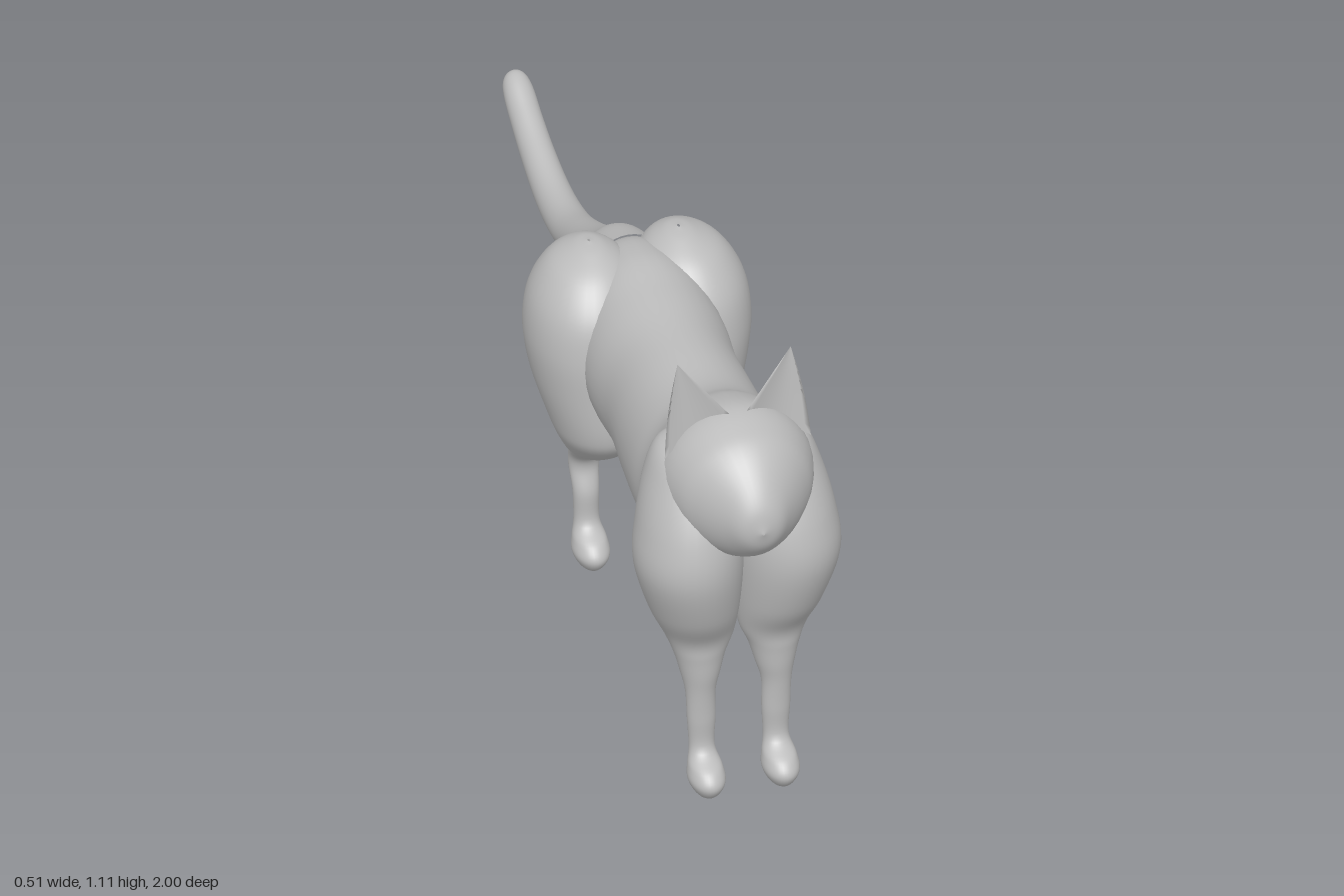
import * as THREE from 'three';

// Smooth loft through elliptical sections [s, a0, a1, x0, x1].
// axis 'y': s is height (ascending), a spans z. axis 'z': s is z (descending), a spans y.
function loft(rows, axis, steps = 6, sides = 36) {
  const ca = new THREE.CatmullRomCurve3(rows.map(r => new THREE.Vector3(r[0], r[1], r[2])), false, 'catmullrom', 0.5);
  const cx = new THREE.CatmullRomCurve3(rows.map(r => new THREE.Vector3(r[0], r[3], r[4])), false, 'catmullrom', 0.5);
  const n = (rows.length - 1) * steps, pos = [], idx = [];
  for (let i = 0; i <= n; i++) {
    const p = ca.getPoint(i / n), q = cx.getPoint(i / n);
    for (let j = 0; j < sides; j++) {
      const t = j / sides * Math.PI * 2;
      const x = (q.y + q.z) / 2 + Math.cos(t) * Math.abs(q.z - q.y) / 2;
      const a = (p.y + p.z) / 2 + Math.sin(t) * Math.abs(p.y - p.z) / 2;
      if (axis === 'y') pos.push(x, p.x, a); else pos.push(x, a, p.x);
      if (i < n) {
        const k = (j + 1) % sides, A = i * sides + j, B = A + sides, C = i * sides + k, D = C + sides;
        idx.push(A, B, C, C, B, D);
      }
    }
  }
  const g = new THREE.BufferGeometry();
  g.setAttribute('position', new THREE.Float32BufferAttribute(pos, 3));
  g.setIndex(idx);
  g.computeVertexNormals();
  return g;
}

// Ear: thin cupped triangle, hollow towards the front
function earGeometry(side) {
  const nu = 12, nv = 10, pos = [], idx = [], ring = nu * 2;
  for (let i = 0; i <= nv; i++) {
    const v = i / nv;
    for (let j = 0; j < ring; j++) {
      const back = j >= nu, u = back ? (ring - j) / nu : j / nu;
      const bx = 0.02 + 0.148 * u, by = 0.972 - 0.092 * u;
      const bulge = Math.sin(Math.PI * u) * (1 - v) * (back ? 0.036 : 0.018);
      pos.push(side * (bx + (0.13 - bx) * v + 0.006 * u * Math.sin(Math.PI * v)),
        by + (1.105 - by) * v, 0.793 - 0.03 * v - bulge);
      if (i < nv) {
        const A = i * ring + j, C = i * ring + (j + 1) % ring, B = A + ring, D = C + ring;
        if (side > 0) idx.push(A, C, B, C, D, B); else idx.push(A, B, C, C, B, D);
      }
    }
  }
  const g = new THREE.BufferGeometry();
  g.setAttribute('position', new THREE.Float32BufferAttribute(pos, 3));
  g.setIndex(idx);
  g.computeVertexNormals();
  return g;
}

// Head, neck and trunk: z, top, bottom, half width
const TRUNK = [
  [1.0, 0.785, 0.78, 0.003], [0.985, 0.838, 0.735, 0.045], [0.95, 0.89, 0.695, 0.08],
  [0.9, 0.938, 0.66, 0.125], [0.85, 0.962, 0.645, 0.157], [0.77, 0.975, 0.62, 0.177],
  [0.68, 0.95, 0.52, 0.173], [0.6, 0.908, 0.435, 0.167], [0.52, 0.888, 0.437, 0.168],
  [0.4, 0.883, 0.45, 0.162], [0.28, 0.88, 0.472, 0.156], [0.15, 0.885, 0.478, 0.165],
  [0.02, 0.89, 0.5, 0.15], [-0.1, 0.85, 0.56, 0.1], [-0.15, 0.72, 0.7, 0.01],
];

// Legs: y, front z, back z, inner x, outer x
const FRONT_LEG = [
  [0, 0.845, 0.835, 0.082, 0.088], [0.01, 0.877, 0.798, 0.06, 0.11], [0.04, 0.896, 0.779, 0.044, 0.126],
  [0.07, 0.878, 0.774, 0.047, 0.123], [0.105, 0.826, 0.773, 0.056, 0.114], [0.18, 0.824, 0.772, 0.053, 0.118],
  [0.25, 0.827, 0.765, 0.053, 0.121], [0.3, 0.833, 0.742, 0.04, 0.131], [0.35, 0.837, 0.727, 0.026, 0.144],
  [0.4, 0.845, 0.71, 0.006, 0.163], [0.48, 0.889, 0.66, -0.005, 0.2], [0.6, 0.922, 0.645, -0.01, 0.233],
  [0.7, 0.91, 0.635, -0.01, 0.224], [0.8, 0.865, 0.63, 0, 0.2], [0.87, 0.81, 0.66, 0.05, 0.168],
  [0.89, 0.74, 0.73, 0.1, 0.11],
];
const HIND_LEG = [
  [0, -0.075, -0.085, 0.082, 0.088], [0.01, -0.043, -0.122, 0.06, 0.11], [0.04, -0.024, -0.141, 0.044, 0.126],
  [0.07, -0.042, -0.146, 0.047, 0.123], [0.105, -0.09, -0.145, 0.056, 0.114], [0.18, -0.094, -0.143, 0.056, 0.116],
  [0.24, -0.109, -0.159, 0.052, 0.121], [0.28, -0.09, -0.158, 0.047, 0.124], [0.32, -0.03, -0.142, 0.04, 0.132],
  [0.36, 0.035, -0.112, 0.027, 0.152], [0.4, 0.09, -0.083, 0.012, 0.172], [0.45, 0.145, -0.095, 0, 0.195],
  [0.5, 0.163, -0.128, -0.008, 0.213], [0.6, 0.163, -0.165, -0.015, 0.242], [0.7, 0.158, -0.18, -0.015, 0.255],
  [0.79, 0.138, -0.17, -0.01, 0.242], [0.86, 0.085, -0.132, 0.02, 0.2], [0.895, 0.02, -0.083, 0.065, 0.142],
  [0.905, -0.03, -0.04, 0.1, 0.106],
];

// Tail: z, centre height, half height, half width
const TAIL = [
  [-0.08, 0.77, 0.1, 0.09], [-0.18, 0.745, 0.088, 0.078], [-0.24, 0.712, 0.077, 0.062], [-0.32, 0.672, 0.066, 0.053],
  [-0.42, 0.629, 0.057, 0.049], [-0.52, 0.594, 0.05, 0.047], [-0.61, 0.581, 0.047, 0.044],
  [-0.7, 0.586, 0.045, 0.041], [-0.8, 0.61, 0.043, 0.038], [-0.88, 0.64, 0.041, 0.036],
  [-0.95, 0.673, 0.037, 0.034], [-0.985, 0.685, 0.027, 0.025], [-1.0, 0.688, 0.002, 0.002],
];

export function createModel() {
  const model = new THREE.Group();
  const grey = new THREE.MeshStandardMaterial({ color: 0xbcbcbc });
  grey.name = 'plain grey';
  const add = (name, geometry) => {
    const mesh = new THREE.Mesh(geometry, grey);
    mesh.name = name;
    model.add(mesh);
  };

  add('headAndTrunk', loft(TRUNK.map(([z, t, b, w]) => [z, t, b, -w, w]), 'z'));
  add('tail', loft(TAIL.map(([z, y, h, w]) => [z, y + h, y - h, -w, w]), 'z'));

  // Mirrored legs and ears
  for (const side of [1, -1]) {
    const label = side > 0 ? 'left' : 'right';
    const mirror = rows => rows.map(([y, f, b, i, o]) => side > 0 ? [y, f, b, i, o] : [y, f, b, -o, -i]);
    add(label + 'FrontLeg', loft(mirror(FRONT_LEG), 'y'));
    add(label + 'HindLeg', loft(mirror(HIND_LEG), 'y'));
    add(label + 'Ear', earGeometry(side));
  }
  return model;
}
